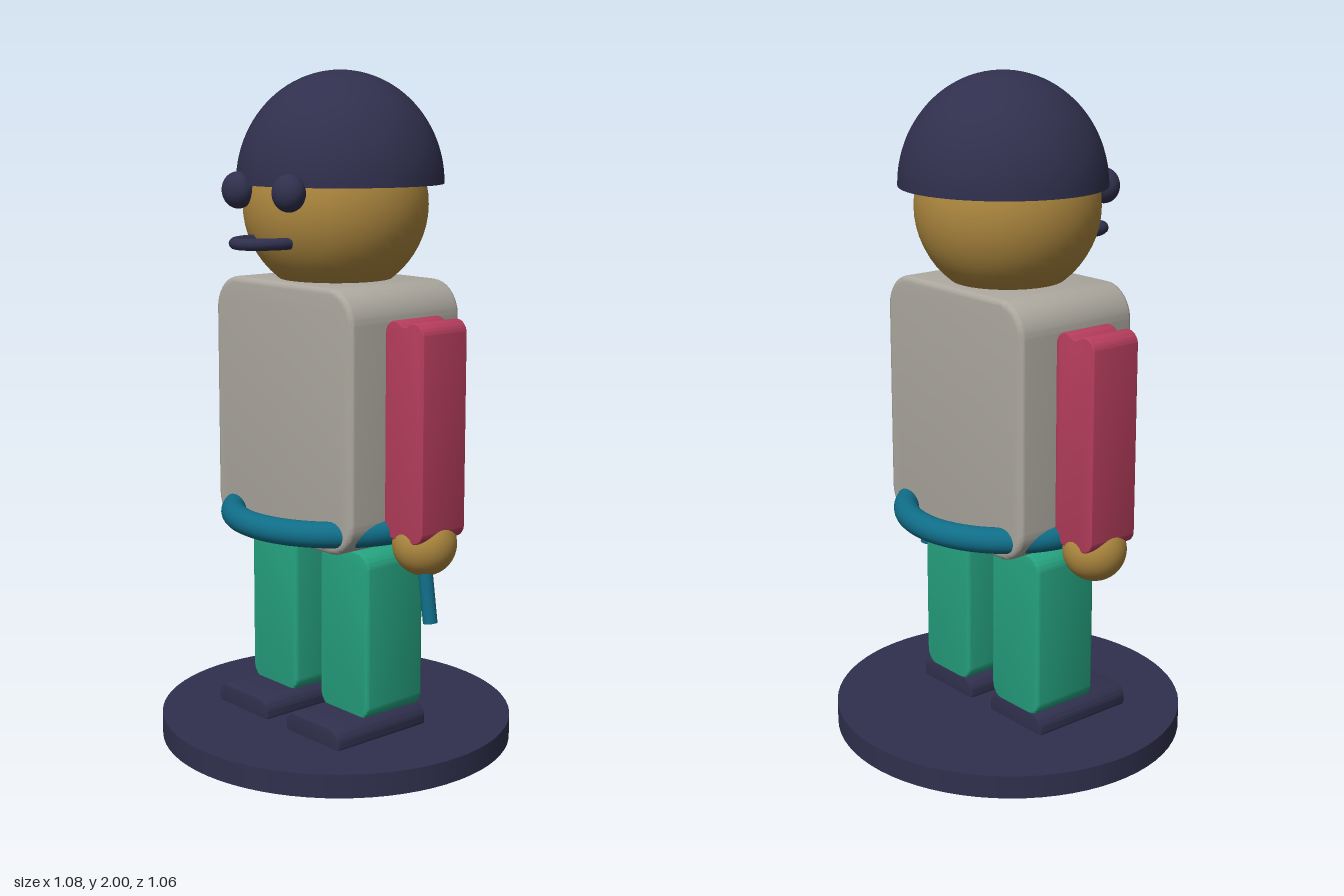
import * as THREE from 'three';
import { toCreasedNormals } from 'three/addons/utils/BufferGeometryUtils.js';

const material = (name, color) => Object.assign(new THREE.MeshStandardMaterial({ color }), { name });

export function createModel() {
  const model = new THREE.Group();
  model.name = 'figure';
  const navy = material('navy', 0x30304e);
  const skin = material('golden skin', 0xae883f);
  const grey = material('warm grey', 0xaca89f);
  const red = material('raspberry', 0xb63d5c);
  const green = material('green', 0x25a27f);
  const teal = material('teal', 0x106d88);

  const add = (name, geometry, mat, x = 0, y = 0, z = 0) => {
    const mesh = new THREE.Mesh(geometry, mat);
    mesh.name = name;
    mesh.position.set(x, y, z);
    model.add(mesh);
    return mesh;
  };
  const ball = (r) => new THREE.SphereGeometry(r, 40, 28);

  // Outline with rounded corners, centred on the origin
  const roundedRect = (w, h, r) => {
    const s = new THREE.Shape();
    const a = w / 2, b = h / 2;
    s.absarc(a - r, b - r, r, 0, Math.PI / 2);
    s.absarc(-a + r, b - r, r, Math.PI / 2, Math.PI);
    s.absarc(-a + r, -b + r, r, Math.PI, Math.PI * 1.5);
    s.absarc(a - r, -b + r, r, Math.PI * 1.5, Math.PI * 2);
    s.closePath();
    return s;
  };

  // Extrudes a shape along z, centred, with a small bevel kept inside the outline
  const slab = (shape, depth, bevel) => {
    const g = new THREE.ExtrudeGeometry(shape, {
      depth: depth - 2 * bevel, curveSegments: 10,
      bevelThickness: bevel, bevelSize: bevel, bevelOffset: -bevel, bevelSegments: 3,
    });
    g.translate(0, 0, bevel - depth / 2);
    return toCreasedNormals(g, 0.6);
  };

  // Stand
  add('stand', new THREE.CylinderGeometry(0.54, 0.54, 0.07, 72), navy, 0, 0.035).scale.z = 0.98;

  // Torso and belt ring
  add('torso', slab(roundedRect(0.62, 0.765, 0.1), 0.42, 0.016), grey, 0, 1.0175);
  add('belt', new THREE.TorusGeometry(0.308, 0.038, 20, 72).rotateX(Math.PI / 2), teal, 0, 0.697);

  // Head and cap, closed underneath
  add('head', ball(0.272), skin, 0, 1.615);
  const capProfile = [new THREE.Vector2(0, 0), new THREE.Vector2(0.308, 0)];
  for (let i = 1; i <= 24; i++) {
    const t = (i / 24) * Math.PI / 2;
    capProfile.push(new THREE.Vector2(i === 24 ? 0 : 0.308 * Math.cos(t), 0.325 * Math.sin(t)));
  }
  const cap = toCreasedNormals(new THREE.LatheGeometry(capProfile, 56), 0.6);
  add('cap', cap, navy, 0, 1.675, -0.017).scale.z = 0.98;

  // Mouth: a half ring bulging forward
  const mouthPath = new THREE.CatmullRomCurve3(Array.from({ length: 13 }, (_, i) => {
    const t = (i / 12) * Math.PI;
    return new THREE.Vector3(0.078 * Math.cos(t), 0, 0.12 * Math.sin(t));
  }));
  add('mouth', new THREE.TubeGeometry(mouthPath, 32, 0.017, 12), navy, 0, 1.517, 0.238);

  // Arm outline: two rounded lobes at each end
  const armShape = new THREE.Shape();
  const lobe = 0.039, armHalf = 0.275;
  armShape.absarc(lobe, armHalf, 0.038, 0, Math.PI * 0.78);
  armShape.absarc(-lobe, armHalf, 0.038, Math.PI * 0.22, Math.PI);
  armShape.absarc(-lobe, -armHalf, 0.038, Math.PI, Math.PI * 1.78);
  armShape.absarc(lobe, -armHalf, 0.038, Math.PI * 1.22, Math.PI * 2);
  armShape.closePath();

  for (const [side, label] of [[1, 'left'], [-1, 'right']]) {
    add(label + 'Eye', ball(0.053), navy, side * 0.115, 1.66, 0.27).scale.z = 0.83;
    add(label + 'Arm', slab(armShape, 0.168, 0.004), red, side * 0.388, 1.0);
    add(label + 'Hand', ball(0.093), skin, side * 0.389, 0.67);
    add(label + 'Leg', slab(roundedRect(0.214, 0.51, 0.05), 0.218, 0.008), green, side * 0.163, 0.372);
    add(label + 'Shoe', slab(roundedRect(0.24, 0.09, 0.04), 0.345, 0.008), navy, side * 0.165, 0.085, 0.0625);
  }

  // Stick held in the left hand
  add('stick', new THREE.CylinderGeometry(0.021, 0.021, 0.24, 20), teal, 0.419, 0.567, 0.02).rotation.z = 0.15;

  return model;
}
